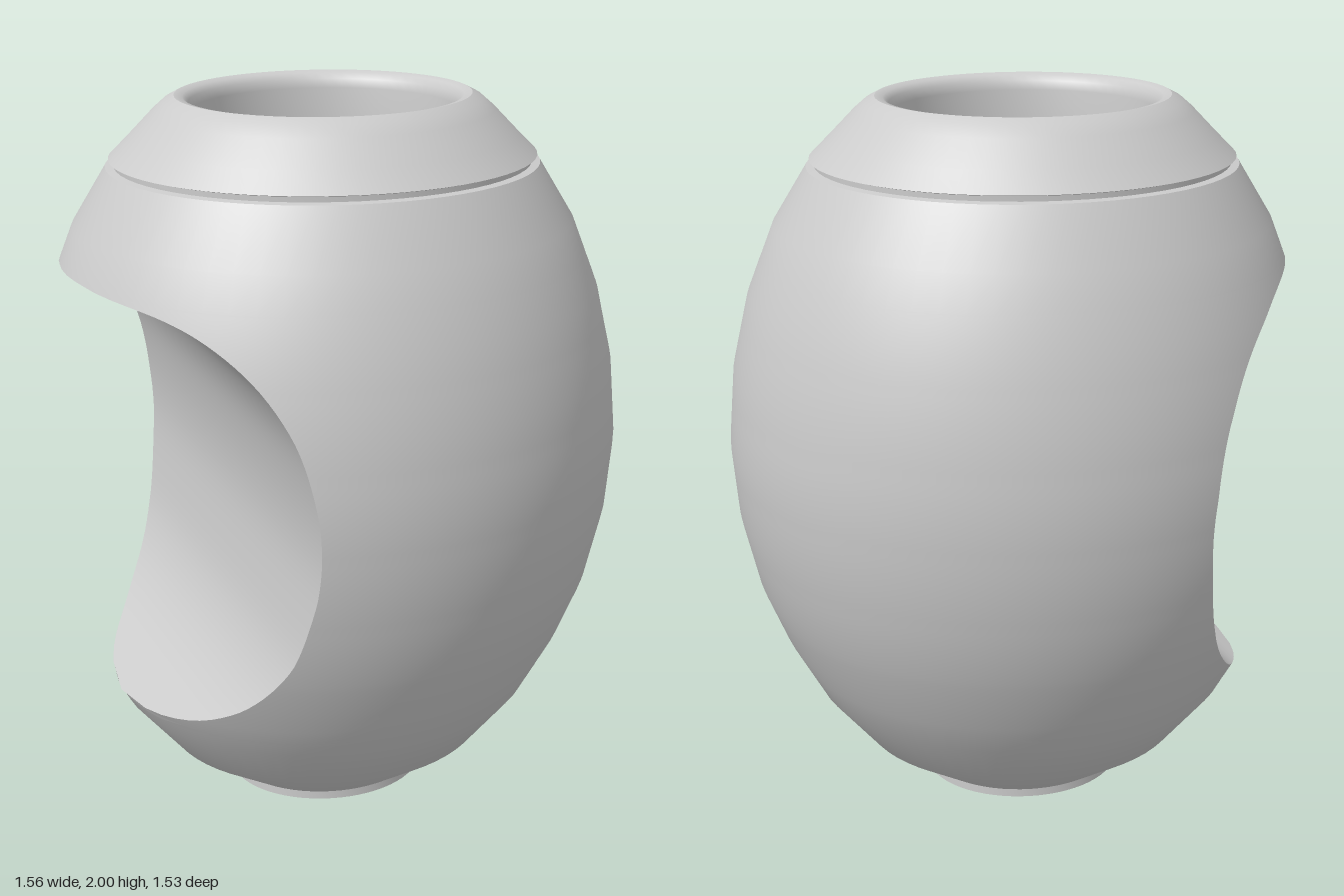
import * as THREE from 'three';
import { toCreasedNormals } from 'three/addons/utils/BufferGeometryUtils.js';

const CX = -0.055;  // x of the vertical axis
const K = 1.085;    // the plan is an ellipse, wider in x

// egg profile: radius in z, height
const EGG = [[0.265, 0.025], [0.43, 0.14], [0.553, 0.3], [0.64, 0.47], [0.703, 0.635], [0.748, 0.84],
  [0.765, 1.05], [0.748, 1.27], [0.705, 1.47], [0.636, 1.66], [0.548, 1.815]];

// side profile of the scooped opening: x, y from lower lip to upper lip
const SCOOP = [[-0.682, 0.339], [-0.56, 0.403], [-0.464, 0.503], [-0.4, 0.625], [-0.363, 0.784],
  [-0.347, 0.943], [-0.363, 1.113], [-0.405, 1.267], [-0.48, 1.4], [-0.575, 1.494], [-0.655, 1.537], [-0.782, 1.565]];

function eggRadius(y) {
  let i = 0;
  while (i < EGG.length - 2 && y > EGG[i + 1][1]) i++;
  const [r0, y0] = EGG[i], [r1, y1] = EGG[i + 1];
  return r0 + (r1 - r0) * (y - y0) / (y1 - y0);
}

function eggSlope(y) {
  const lo = Math.max(y - 0.09, 0.025), hi = Math.min(y + 0.09, 1.815);
  return (eggRadius(hi) - eggRadius(lo)) / (hi - lo);
}

// grid of rows going up; point(row, s) returns [position, normal or nothing]
function gridGeometry(rows, cols, point) {
  const pos = [], nor = [], idx = [];
  rows.forEach((row, j) => {
    for (let i = 0; i <= cols; i++) {
      const [p, n] = point(row, i / cols);
      pos.push(...p);
      if (n) nor.push(...n);
      if (j && i) {
        const d = j * (cols + 1) + i, c = d - 1, b = d - cols - 1, a = b - 1;
        idx.push(a, b, d, a, d, c);
      }
    }
  });
  const g = new THREE.BufferGeometry();
  g.setAttribute('position', new THREE.Float32BufferAttribute(pos, 3));
  g.setIndex(idx);
  if (nor.length) g.setAttribute('normal', new THREE.Float32BufferAttribute(nor, 3));
  else g.computeVertexNormals();
  return g;
}

function lathe(points) {
  const g = new THREE.LatheGeometry(points.map(([r, y]) => new THREE.Vector2(r, y)), 64);
  g.scale(K, 1, 1).translate(CX, 0, 0);
  return toCreasedNormals(g, 0.6);
}

export function createModel() {
  const group = new THREE.Group();
  const material = new THREE.MeshStandardMaterial({ color: 0xcccccc });
  const add = (name, geometry) => {
    const mesh = new THREE.Mesh(geometry, material);
    mesh.name = name;
    group.add(mesh);
  };

  // rows of the scoop, each with the half angle of egg that remains
  const curve = new THREE.CatmullRomCurve3(SCOOP.map(([x, y]) => new THREE.Vector3(x, y, 0)));
  const samples = 60;
  const cutRows = curve.getPoints(samples).map(({ x, y }, i) => {
    const cos = Math.max(-1, (x - CX) / (K * eggRadius(y)));
    return { x, y, a: i === 0 || i === samples ? Math.PI : Math.acos(cos) };
  });

  // egg-shaped shell, open where the scoop bites into it
  const low = SCOOP[0][1], high = SCOOP[SCOOP.length - 1][1];
  const fullRows = EGG.filter(([, y]) => y < low || y > high).map(([, y]) => ({ y, a: Math.PI }));
  const rows = [...fullRows, ...cutRows].sort((p, q) => p.y - q.y);
  add('eggBody', gridGeometry(rows, 64, ({ y, a }, s) => {
    const t = a * (1 - 2 * s), r = eggRadius(y);
    const n = new THREE.Vector3(Math.cos(t) / K, -eggSlope(y), Math.sin(t)).normalize();
    return [[CX + K * r * Math.cos(t), y, r * Math.sin(t)], n.toArray()];
  }));

  // concave wall of the scoop, straight along z
  add('scoopWall', gridGeometry(cutRows, 8, ({ x, y, a }, s) =>
    [[x, y, eggRadius(y) * Math.sin(a) * (2 * s - 1)]]));

  // flat foot
  add('foot', lathe([[0, 0], [0.262, 0], [0.262, 0.025], [0.268, 0.028]]));

  // collar above a fine groove, with a rounded rim and a flat-floored well
  add('collar', lathe([[0.548, 1.815], [0.527, 1.818], [0.527, 1.832], [0.54, 1.836], [0.49, 1.89],
    [0.43, 1.957], [0.4, 1.985], [0.373, 2], [0.352, 1.995], [0.338, 1.98], [0.333, 1.955],
    [0.333, 1.73], [0, 1.73]]));

  return group;
}
